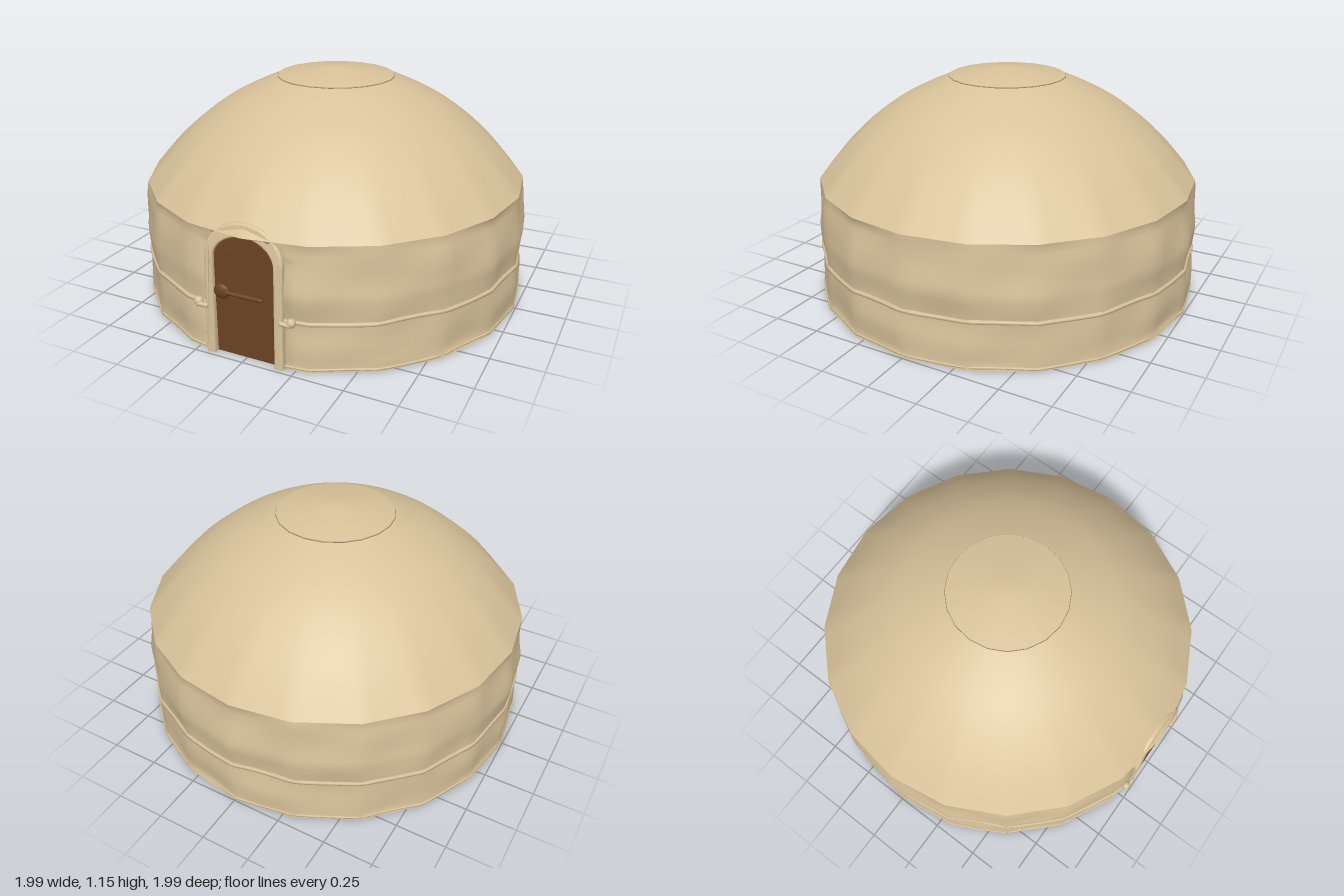
import * as THREE from 'three';
import { mergeVertices } from 'three/addons/utils/BufferGeometryUtils.js';

const SIDES = 20, SEGMENTS = 120;

// Radius multiplier that turns a circle into a softly faceted polygon
function facet(theta) {
  const step = (Math.PI * 2) / SIDES;
  const t = ((theta % step) + step) % step;
  return Math.cos(step / 2) / Math.cos(t - step / 2);
}

// Shallow dents of stretched cloth, always inward
function dent(theta, y) {
  const s = Math.sin(theta * 7 + y * 9) + Math.sin(theta * 13 - y * 17 + 1) + Math.sin(theta * 4 + y * 23 + 2);
  return -0.0025 * (s + 2);
}

// True inside the arched doorway
function inDoorway(x, y, z) {
  if (z < 0 || y > 0.59) return false;
  const up = Math.max(0, (y - 0.47) / 0.13);
  return Math.abs(x) < 0.18 * Math.sqrt(Math.max(0, 1 - up * up));
}

function wallPoint(theta, r, y) {
  const R = r * facet(theta) + (y > 0.01 && y < 0.59 ? dent(theta, y) : 0);
  const x = R * Math.sin(theta), z = R * Math.cos(theta);
  return new THREE.Vector3(x, y, inDoorway(x, y, z) ? 0.92 : z);
}

// Lathe surface moved onto the faceted outline, with smooth normals
function clothLathe(profile, place) {
  let geo = new THREE.LatheGeometry(profile.map(([r, y]) => new THREE.Vector2(r, y)), SEGMENTS);
  const p = geo.attributes.position;
  for (let i = 0; i < p.count; i++) {
    const x = p.getX(i), y = p.getY(i), z = p.getZ(i);
    const v = place(Math.atan2(x, z), Math.hypot(x, z), y);
    p.setXYZ(i, v.x, v.y, v.z);
  }
  geo.deleteAttribute('uv');
  geo.deleteAttribute('normal');
  geo = mergeVertices(geo, 1e-5);
  geo.computeVertexNormals();
  return geo;
}

// Arch outline: straight jambs with an elliptical head
function archPoints(halfWidth, spring, rise) {
  const pts = [new THREE.Vector2(halfWidth, 0)];
  for (let i = 0; i <= 24; i++) {
    const a = (i / 24) * Math.PI;
    pts.push(new THREE.Vector2(halfWidth * Math.cos(a), spring + rise * Math.sin(a)));
  }
  pts.push(new THREE.Vector2(-halfWidth, 0));
  return pts;
}

export function createModel() {
  const group = new THREE.Group();
  const canvas = new THREE.MeshStandardMaterial({ color: 0xd8c29a });
  canvas.name = 'canvas';
  const wood = new THREE.MeshStandardMaterial({ color: 0x6b4322 });
  wood.name = 'wood';
  const add = (name, geo, mat, parent = group) => {
    const mesh = new THREE.Mesh(geo, mat);
    mesh.name = name;
    parent.add(mesh);
    return mesh;
  };

  // Wall, with the doorway pushed inwards
  const keys = [[0, 0.995], [0.12, 0.996], [0.235, 0.988], [0.36, 1.0], [0.5, 0.984], [0.6, 0.972]];
  const radiusAt = (y) => {
    let i = 0;
    while (i < keys.length - 2 && y > keys[i + 1][0]) i++;
    const [[y0, r0], [y1, r1]] = [keys[i], keys[i + 1]];
    return r0 + ((r1 - r0) * (y - y0)) / (y1 - y0);
  };
  const wallProfile = [];
  for (let i = 0; i <= 24; i++) wallProfile.push([radiusAt(i * 0.025), i * 0.025]);
  add('wall', clothLathe(wallProfile, wallPoint), canvas);

  // Domed roof, smoothing towards a circle as it rises
  const roofCurve = new THREE.SplineCurve(
    [[0.972, 0.6], [0.835, 0.757], [0.69, 0.888], [0.53, 0.998], [0.3, 1.105], [0.2, 1.12]]
      .map(([x, y]) => new THREE.Vector2(x, y)));
  const roofPlace = (theta, r, y) => {
    const k = Math.min(1, Math.max(0, (y - 0.6) / 0.4));
    const R = r * (facet(theta) * (1 - k) + k);
    return new THREE.Vector3(R * Math.sin(theta), y, R * Math.cos(theta));
  };
  add('roof', clothLathe(roofCurve.getPoints(24).map((v) => [v.x, v.y]), roofPlace), canvas);

  // Crown cap with a thin lip
  add('crownCap', clothLathe([[0.28, 1.104], [0.3, 1.108], [0.296, 1.114], [0.15, 1.138], [0.05, 1.152], [0, 1.155]],
    (theta, r, y) => new THREE.Vector3(r * facet(theta) * Math.sin(theta), y, r * facet(theta) * Math.cos(theta))), canvas);

  // Floor, notched at the doorway
  const rim = [];
  for (let i = 0; i < SEGMENTS; i++) {
    const v = wallPoint((i / SEGMENTS) * Math.PI * 2, radiusAt(0), 0);
    rim.push(new THREE.Vector2(v.x, v.z));
  }
  add('floor', new THREE.ShapeGeometry(new THREE.Shape(rim)).rotateX(Math.PI / 2), canvas);

  // Rope and hem, running round the wall from one door jamb to the other
  const band = (name, y, radius, sag) => {
    const pts = [], start = 0.2;
    for (let i = 0; i <= 100; i++) {
      const a = start + (i / 100) * (Math.PI * 2 - start * 2);
      const v = wallPoint(a, radiusAt(y), y);
      v.y += sag * Math.sin(a * 10);
      pts.push(v);
    }
    add(name, new THREE.TubeGeometry(new THREE.CatmullRomCurve3(pts), 200, radius, 6), canvas);
  };
  band('rope', 0.235, 0.012, 0.003);
  band('hem', 0.012, 0.007, 0);

  // Door frame: arched ring leaning back with the roof
  const ring = new THREE.Shape(archPoints(0.188, 0.49, 0.155)
    .concat(archPoints(0.163, 0.475, 0.125).reverse()));
  const frameGeo = new THREE.ExtrudeGeometry(ring, {
    depth: 0.06, bevelEnabled: true, bevelThickness: 0.012, bevelSize: 0.01, bevelSegments: 3, curveSegments: 1,
  });
  const fp = frameGeo.attributes.position;
  for (let i = 0; i < fp.count; i++) {
    const y = Math.max(0, fp.getY(i));
    fp.setY(i, y);
    fp.setZ(i, fp.getZ(i) + 0.912 - 0.17 * Math.max(0, y - 0.4));
  }
  frameGeo.computeVertexNormals();
  add('doorFrame', frameGeo, canvas);

  // Rope knots beside the frame
  for (const side of [-1, 1]) {
    const knot = add('ropeKnot', new THREE.SphereGeometry(0.022, 12, 8), canvas);
    knot.position.set(side * 0.237, 0.243, 0.967);
    const loop = add('ropeTie', new THREE.CapsuleGeometry(0.012, 0.04, 4, 8), canvas);
    loop.rotation.z = Math.PI / 2;
    loop.position.set(side * 0.212, 0.235, 0.978);
  }

  // Door leaf with latch
  const door = new THREE.Group();
  door.name = 'door';
  door.position.z = 0.945;
  group.add(door);
  const leaf = new THREE.ExtrudeGeometry(new THREE.Shape(archPoints(0.165, 0.475, 0.13)),
    { depth: 0.008, bevelEnabled: false, curveSegments: 1 });
  const lp = leaf.attributes.position;
  for (let i = 0; i < lp.count; i++) lp.setZ(i, lp.getZ(i) - 0.05 * Math.max(0, lp.getY(i) - 0.45));
  leaf.computeVertexNormals();
  add('doorLeaf', leaf, wood, door);
  const bar = add('latchBar', new THREE.CapsuleGeometry(0.01, 0.19, 4, 8), wood, door);
  bar.rotation.z = Math.PI / 2;
  bar.position.set(-0.01, 0.313, 0.016);
  const knob = add('latchKnob', new THREE.SphereGeometry(0.037, 14, 10), wood, door);
  knob.scale.set(1.1, 1, 0.5);
  knob.position.set(-0.118, 0.313, 0.01);

  return group;
}
